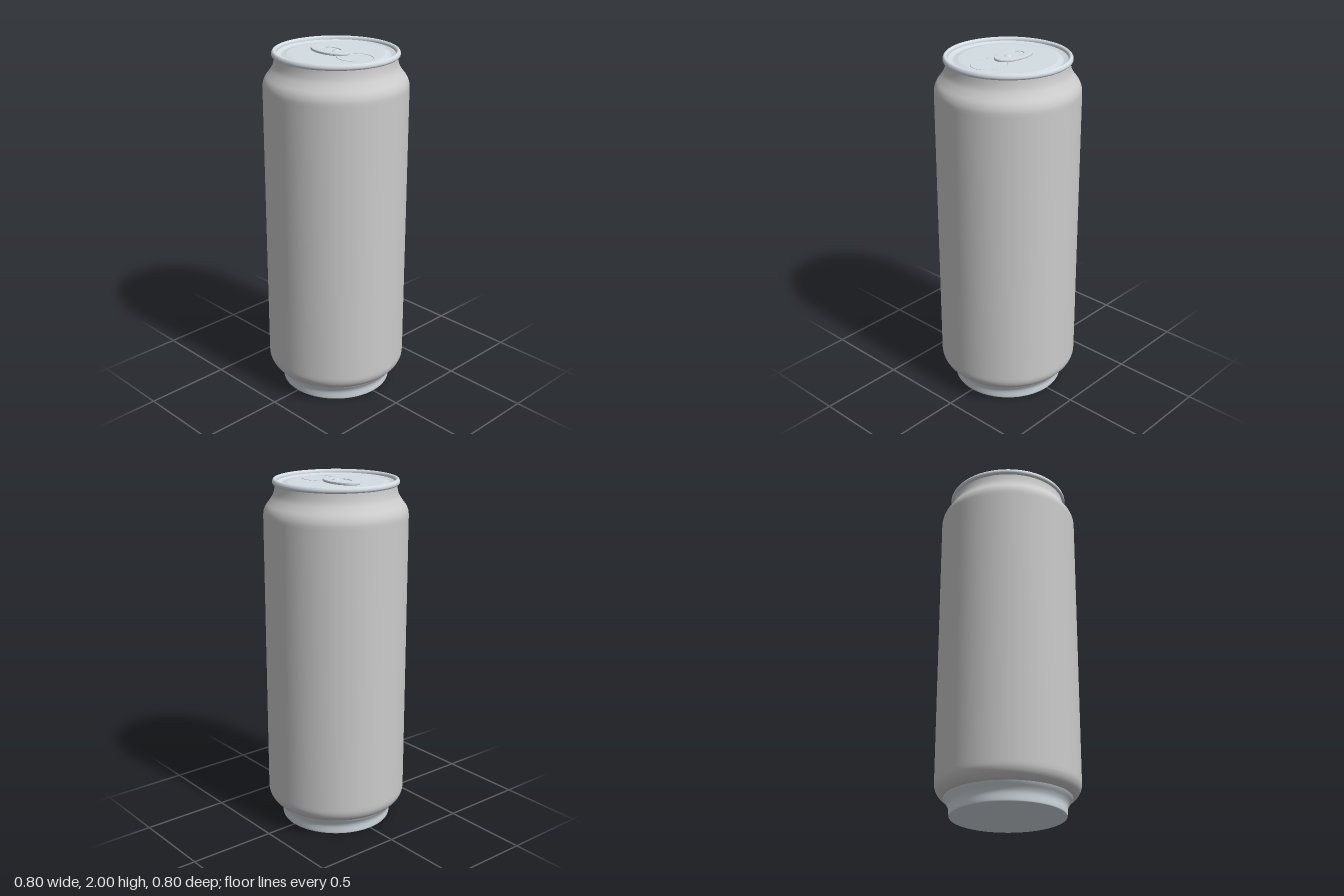
import * as THREE from 'three';

const SEGMENTS = 96;
const paint = new THREE.MeshStandardMaterial({ color: 0xcccccc });
const metal = new THREE.MeshStandardMaterial({ color: 0xd4dde3 });

const vectors = (list) => list.map(([r, y]) => new THREE.Vector2(r, y));
const smooth = (list, n = 20) => new THREE.SplineCurve(vectors(list)).getPoints(n);

function part(name, geometry, material) {
  const mesh = new THREE.Mesh(geometry, material);
  mesh.name = name;
  return mesh;
}

const lathe = (name, points, material) =>
  part(name, new THREE.LatheGeometry(points, SEGMENTS), material);

function ellipse(rx, rz, cz = 0) {
  const shape = new THREE.Shape();
  shape.absellipse(0, -cz, rx, rz, 0, Math.PI * 2);
  return shape;
}

// Flat plate lying on y, its outline drawn in x and -z
function plate(name, shape, y, depth, bevel) {
  const geometry = new THREE.ExtrudeGeometry(shape, {
    depth, curveSegments: 48, bevelEnabled: bevel > 0,
    bevelThickness: bevel, bevelSize: bevel, bevelOffset: -bevel, bevelSegments: 2,
  });
  geometry.rotateX(-Math.PI / 2);
  geometry.translate(0, y, 0);
  return part(name, geometry, metal);
}

export function createModel() {
  const can = new THREE.Group();
  can.name = 'drinkCan';

  // Painted wall with rounded bottom edge and tapering shoulder
  can.add(lathe('body', [
    ...smooth([[0.348, 0.1], [0.368, 0.111], [0.388, 0.135], [0.398, 0.162], [0.4, 0.19]]),
    ...smooth([[0.4, 1.79], [0.398, 1.82], [0.387, 1.85], [0.365, 1.88],
      [0.346, 1.91], [0.337, 1.94], [0.333, 1.972]], 28),
  ], paint));

  // Bare metal foot and bottom plate
  can.add(lathe('foot', smooth([[0.313, 0], [0.318, 0.006], [0.321, 0.045], [0.33, 0.068],
    [0.345, 0.09], [0.353, 0.105]], 24), metal));
  can.add(lathe('bottomPlate', vectors([[0, 0.003], [0.308, 0.003], [0.313, 0]]), metal));

  // Rolled rim around the lid
  can.add(lathe('rim', smooth([[0.331, 1.968], [0.341, 1.969], [0.348, 1.977], [0.348, 1.988],
    [0.342, 1.998], [0.335, 2], [0.328, 1.997], [0.323, 1.989], [0.322, 1.975]], 32), metal));

  // Lid with a shallow trough just inside the rim
  can.add(lathe('lid', [
    ...smooth([[0.325, 1.982], [0.312, 1.978], [0.297, 1.974], [0.282, 1.976], [0.265, 1.98]], 16),
    new THREE.Vector2(0.25, 1.98), new THREE.Vector2(0, 1.98),
  ], metal));

  // Scored outline of the opening
  const outline = new THREE.CatmullRomCurve3(Array.from({ length: 48 }, (_, i) => {
    const a = (i / 48) * Math.PI * 2;
    return new THREE.Vector3(0.09 * Math.cos(a), 1.98, 0.145 + 0.106 * Math.sin(a));
  }), true);
  can.add(part('openingSeam', new THREE.TubeGeometry(outline, 96, 0.003, 6, true), metal));

  // Pull tab: raised oval ring, thinner centre web and rivet
  const ring = ellipse(0.076, 0.132, -0.045);
  ring.holes.push(ellipse(0.046, 0.065, -0.045));
  can.add(plate('pullTab', ring, 1.984, 0.006, 0.004));
  can.add(plate('tabWeb', ellipse(0.052, 0.071, -0.045), 1.98, 0.009, 0));
  const rivet = part('rivet', new THREE.SphereGeometry(0.02, 24, 16), metal);
  rivet.scale.y = 0.5;
  rivet.position.y = 1.988;
  can.add(rivet);

  return can;
}
